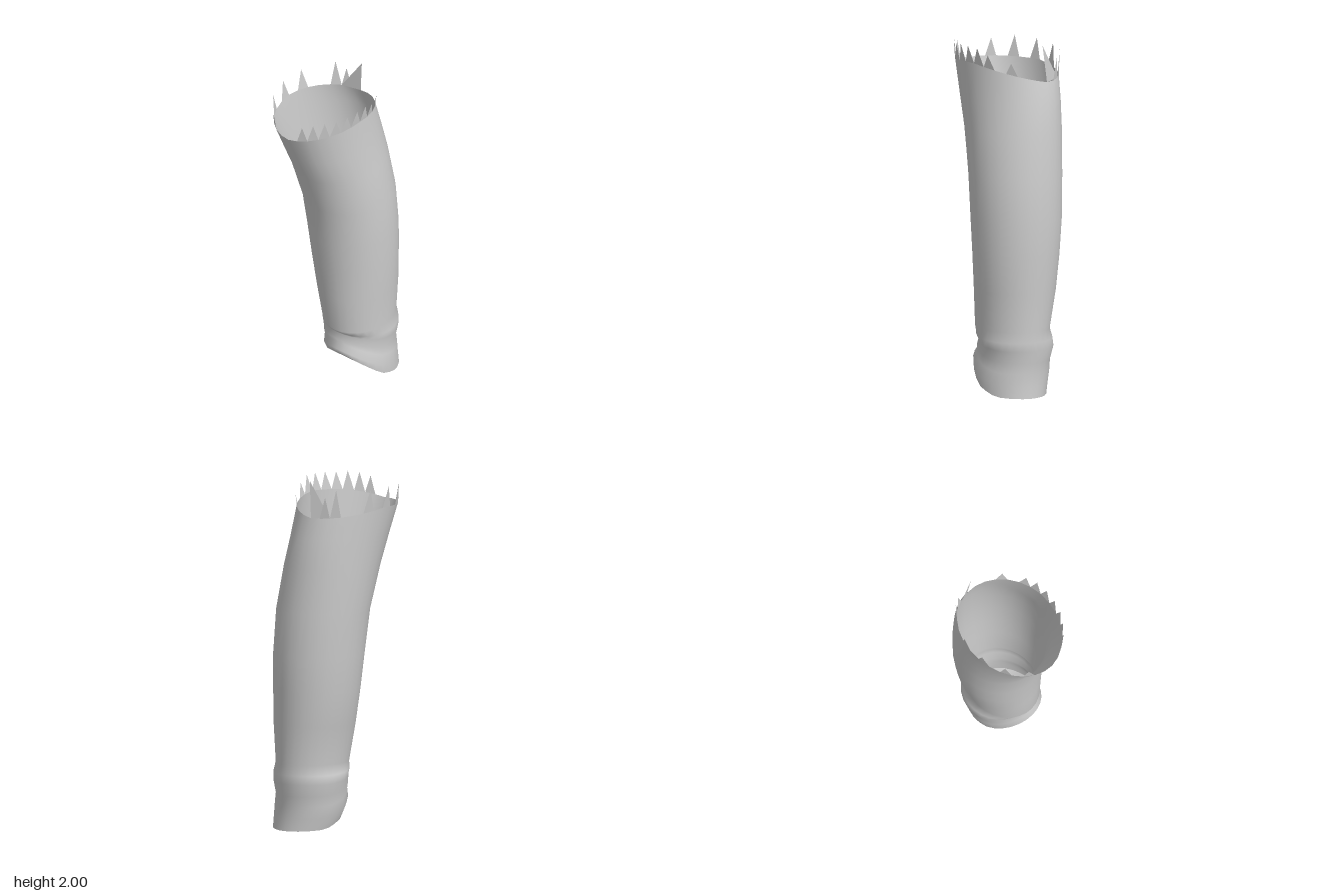
import * as THREE from 'three';

const N = 28; // points around the tube
const CUFF = 0.38; // height where the slanted cuff begins

// Sections: height, min x, max x, min z, max z
const SECTIONS = [
  [0.0, -0.07, 0.31, -0.35, 0.09],
  [0.07, -0.09, 0.31, -0.345, 0.1],
  [0.14, -0.1, 0.3, -0.345, 0.075],
  [0.2, -0.1, 0.29, -0.35, 0.085],
  [0.27, -0.12, 0.3, -0.36, 0.065],
  [0.32, -0.115, 0.305, -0.36, 0.085],
  [0.38, -0.095, 0.29, -0.355, 0.105],
  [0.6, -0.145, 0.305, -0.368, 0.115],
  [0.8, -0.175, 0.31, -0.375, 0.13],
  [1.0, -0.195, 0.312, -0.38, 0.15],
  [1.25, -0.215, 0.305, -0.367, 0.18],
  [1.5, -0.24, 0.275, -0.342, 0.25],
  [1.67, -0.255, 0.25, -0.318, 0.315],
  [1.83, -0.275, 0.235, -0.285, 0.375],
];

// Teeth on the torn rim: segment index -> apex height above the rim
const TEETH = {
  1: 0.1, 2: 0.11, 3: 0.11, 4: 0.1, 5: 0.1, 6: 0.1, 7: 0.1, 8: 0.08,
  10: 0.07, 15: 0.12, 16: 0.16, 19: 0.13, 21: 0.12, 23: 0.12, 25: 0.1,
};

const angle = (i) => (i / N) * Math.PI * 2; // 0 = front, grows towards +x

// Height of the bottom hem, rising towards the front
function hemHeight(z) {
  const pts = [[-0.36, 0], [-0.2, 0.01], [-0.07, 0.06], [0.03, 0.15], [0.1, 0.225]];
  for (let k = 1; k < pts.length; k++) {
    if (z <= pts[k][0] || k === pts.length - 1) {
      const [z0, y0] = pts[k - 1], [z1, y1] = pts[k];
      return Math.max(0, y0 + ((z - z0) / (z1 - z0)) * (y1 - y0));
    }
  }
}

// Height of the torn rim: low in front and at the back, higher on +x
const rimHeight = (a) => 1.835 + 0.05 * Math.max(0, Math.sin(a)) - 0.045 * Math.max(0, -Math.cos(a));

function ringPoint([y, x0, x1, z0, z1], i, isTop) {
  const a = angle(i);
  const x = (x0 + x1) / 2 + (Math.sin(a) * (x1 - x0)) / 2;
  const z = (z0 + z1) / 2 + (Math.cos(a) * (z1 - z0)) / 2;
  if (isTop) return new THREE.Vector3(x, rimHeight(a), z);
  if (y < CUFF) {
    const s = SECTIONS[0];
    const hem = hemHeight((s[3] + s[4]) / 2 + (Math.cos(a) * (s[4] - s[3])) / 2);
    return new THREE.Vector3(x, hem + (y / CUFF) * (CUFF - hem), z);
  }
  return new THREE.Vector3(x, y, z);
}

function meshFrom(name, points, index, material) {
  const g = new THREE.BufferGeometry().setFromPoints(points);
  g.setIndex(index);
  g.computeVertexNormals();
  const mesh = new THREE.Mesh(g, material);
  mesh.name = name;
  return mesh;
}

export function createModel() {
  const group = new THREE.Group();
  group.name = 'tornSleeve';
  const material = new THREE.MeshStandardMaterial({ color: 0xcccccc, side: THREE.DoubleSide });

  // Curved cloth tube with the wrinkled cuff
  const rings = SECTIONS.map((s, r) =>
    Array.from({ length: N }, (_, i) => ringPoint(s, i, r === SECTIONS.length - 1)));
  const index = [];
  for (let r = 0; r < rings.length - 1; r++) {
    for (let i = 0; i < N; i++) {
      const j = (i + 1) % N;
      const a = r * N + i, b = r * N + j, c = a + N, d = b + N;
      index.push(a, b, d, a, d, c);
    }
  }
  group.add(meshFrom('sleeve', rings.flat(), index, material));

  // Slanted inner panel closing the hem, ruled from side to side
  const panel = [];
  for (let i = 1; i < N / 2; i++) {
    const j = N - i;
    panel.push(i, j, i + 1);
    if (j - 1 !== i + 1) panel.push(j, j - 1, i + 1);
  }
  panel.push(0, N - 1, 1);
  group.add(meshFrom('hemPanel', rings[0], panel, material));

  // Ragged triangular teeth around the torn rim
  const top = rings[rings.length - 1];
  const pts = [], idx = [];
  for (const [key, h] of Object.entries(TEETH)) {
    const i = Number(key), p = top[i], q = top[(i + 1) % N];
    const mid = p.clone().add(q).multiplyScalar(0.5);
    const apex = new THREE.Vector3(mid.x * 1.06, Math.min(2, mid.y + h), mid.z * 1.02);
    idx.push(pts.length, pts.length + 1, pts.length + 2);
    pts.push(p, q, apex);
  }
  // A larger scrap at the back reaching full height
  const n = pts.length;
  pts.push(top[14], top[16], new THREE.Vector3(0, 2, -0.27));
  idx.push(n, n + 1, n + 2);
  group.add(meshFrom('tornEdge', pts, idx, material));

  return group;
}
